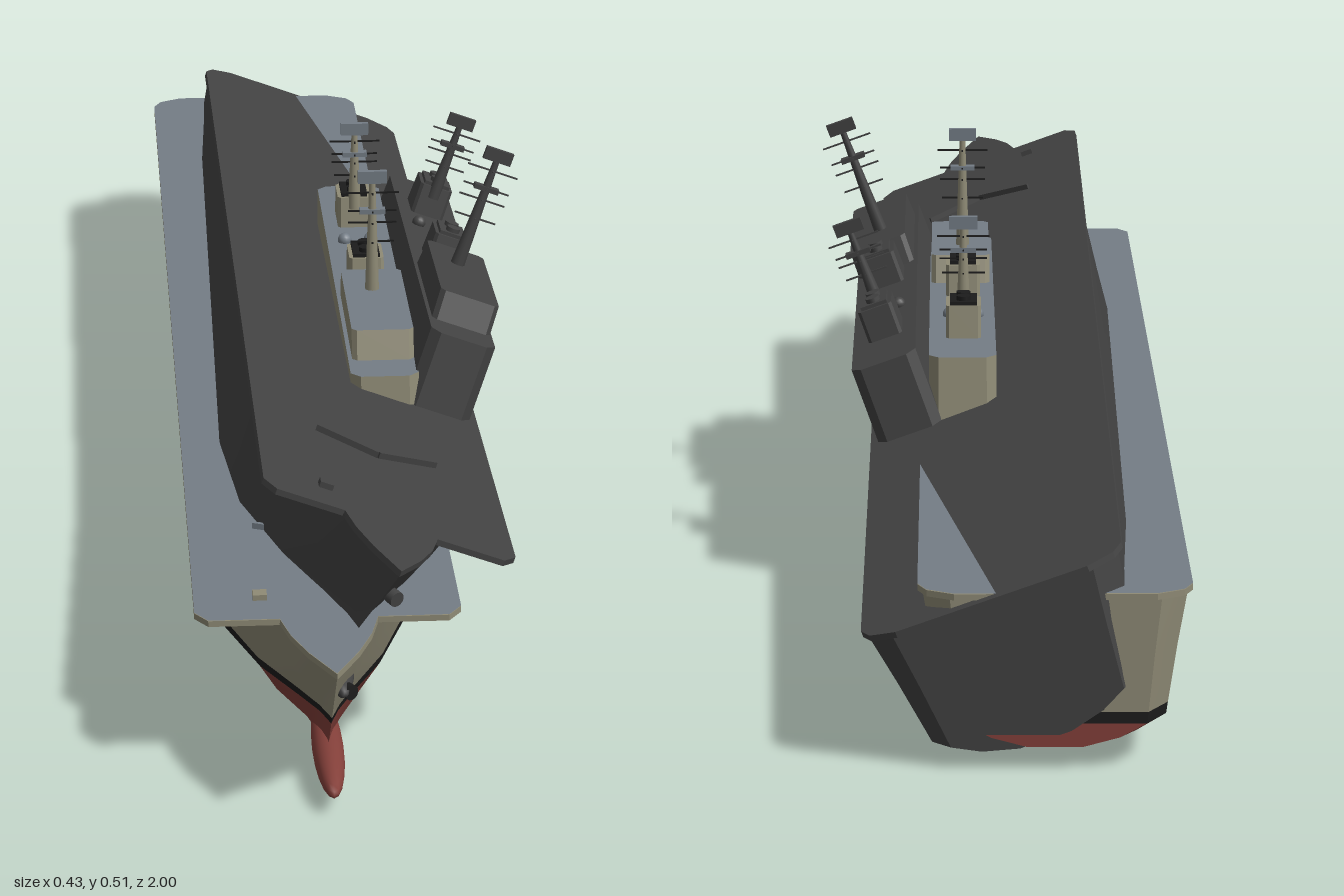
import * as THREE from 'three';
import { toCreasedNormals } from 'three/addons/utils/BufferGeometryUtils.js';

const material = (name, color) => {
  const m = new THREE.MeshStandardMaterial({ color });
  m.name = name;
  return m;
};

// Hull stations, stern to bow:
// zTop, zBottom, deck half width, band half width, band y, bilge half width, keel half width, keel y
const STATIONS = [
  [-0.985, -0.985, 0.115, 0.1, 0.052, 0.07, 0.03, 0.025],
  [-0.95, -0.95, 0.145, 0.122, 0.052, 0.09, 0.04, 0.02],
  [-0.7, -0.7, 0.15, 0.135, 0.052, 0.11, 0.045, 0.003],
  [-0.4, -0.4, 0.15, 0.135, 0.052, 0.11, 0.045, 0],
  [0.35, 0.35, 0.15, 0.135, 0.052, 0.11, 0.045, 0],
  [0.55, 0.53, 0.143, 0.115, 0.053, 0.085, 0.035, 0],
  [0.72, 0.67, 0.105, 0.07, 0.06, 0.05, 0.02, 0.002],
  [0.86, 0.75, 0.055, 0.03, 0.073, 0.02, 0.008, 0.01],
  [0.94, 0.79, 0.028, 0.01, 0.083, 0.006, 0.003, 0.02],
  [1, 0.81, 0, 0, 0.088, 0, 0, 0.03],
];

// Rows of one station from deck edge down to the keel line
function sectionRows([zt, zb, wd, wb, yb, wl, wk, yk]) {
  const yBilge = yk + (yb - yk) * 0.4;
  const rows = [
    [wd, 0.196], [wb + (wd - wb) * 0.5, 0.13], [wb + (wd - wb) * 0.08, yb + 0.013],
    [wb, yb], [wl, yBilge], [wk, yk], [0, yk],
  ];
  return rows.map(([x, y]) => [x, y, zb + (zt - zb) * (y / 0.196)]);
}

// Both sides and the transom of the hull between two rows
function hullStrip(first, last) {
  const sections = STATIONS.map(sectionRows).map((r) => r.slice(first, last + 1));
  sections.unshift(sections[0].map(([, y, z]) => [0, y, z]));
  const n = last - first + 1;
  const pos = [], index = [];
  for (const side of [1, -1]) {
    const base = pos.length / 3;
    sections.forEach((s) => s.forEach(([x, y, z]) => pos.push(side * x, y, z)));
    for (let i = 0; i < sections.length - 1; i++) {
      for (let j = 0; j < n - 1; j++) {
        const a = base + i * n + j, b = a + n, c = a + 1, d = b + 1;
        if (side > 0) index.push(a, b, c, b, d, c);
        else index.push(a, c, b, b, c, d);
      }
    }
  }
  const g = new THREE.BufferGeometry();
  g.setAttribute('position', new THREE.Float32BufferAttribute(pos, 3));
  g.setIndex(index);
  return toCreasedNormals(g, 0.45);
}

function polygon(points) {
  return new THREE.Shape(points.map(([x, z]) => new THREE.Vector2(x, -z)));
}

// Plan outline of the flight deck with its pointed bow
function deckShape() {
  const half = [
    [0.11, -0.988], [0.14, -0.972], [0.15, -0.95], [0.15, 0.835], [0.135, 0.857],
    [0.055, 0.857], [0.045, 0.9], [0.028, 0.945], [0, 1],
  ];
  const other = half.slice(0, -1).reverse().map(([x, z]) => [-x, z]);
  return polygon([...half, ...other]);
}

// Chamfered block standing between y0 and y1, its front and back leaning in towards the top
function blockGeometry(x0, x1, z0, z1, y0, y1, c, lean) {
  const shape = polygon([
    [x0 + c, z0], [x0, z0 + c], [x0, z1 - c], [x0 + c, z1],
    [x1 - c, z1], [x1, z1 - c], [x1, z0 + c], [x1 - c, z0],
  ]);
  const g = new THREE.ExtrudeGeometry(shape, { depth: y1 - y0, bevelEnabled: false });
  g.rotateX(-Math.PI / 2).translate(0, y0, 0);
  const p = g.attributes.position, mid = (z0 + z1) / 2;
  for (let i = 0; i < p.count; i++) {
    if (p.getY(i) > (y0 + y1) / 2) p.setZ(i, p.getZ(i) - Math.sign(p.getZ(i) - mid) * lean);
  }
  g.computeVertexNormals();
  return g;
}

function createShip(name, m) {
  const ship = new THREE.Group();
  ship.name = name;
  const add = (part, geometry, mat, x = 0, y = 0, z = 0) => {
    const mesh = new THREE.Mesh(geometry, mat);
    mesh.name = part;
    mesh.position.set(x, y, z);
    ship.add(mesh);
    return mesh;
  };
  const box = (w, h, d) => new THREE.BoxGeometry(w, h, d);

  // Hull in three painted zones
  add('hullSides', hullStrip(0, 2), m.hull);
  add('waterlineBand', hullStrip(2, 3), m.black);
  add('hullBottom', hullStrip(3, 6), m.red);
  const bulb = add('bowBulb', new THREE.SphereGeometry(1, 20, 14), m.red, 0, 0.025, 0.83);
  bulb.scale.set(0.018, 0.018, 0.12);
  add('rudder', box(0.012, 0.045, 0.07), m.red, 0, 0.029, -0.87);
  const hawse = add('anchor', new THREE.CylinderGeometry(0.009, 0.009, 0.012, 14), m.black, 0.017, 0.145, 0.93);
  hawse.rotation.set(Math.PI / 2, 0, -0.6);

  // Flight deck
  const plate = new THREE.ExtrudeGeometry(deckShape(), { depth: 0.007, bevelEnabled: false });
  add('deckPlate', plate.rotateX(-Math.PI / 2), m.hull, 0, 0.193, 0);
  add('deckSurface', new THREE.ShapeGeometry(deckShape()).rotateX(-Math.PI / 2), m.deck, 0, 0.2008, 0);
  for (const s of [1, -1]) {
    const wall = add('breakwater', box(0.08, 0.008, 0.005), m.deck, s * 0.037, 0.204, 0.622);
    wall.rotation.y = s * 0.4;
  }
  add('deckFitting', box(0.016, 0.007, 0.016), m.hull, -0.075, 0.204, 0.8);

  // Island
  add('islandBase', blockGeometry(0.057, 0.14, -0.325, 0.39, 0.2, 0.295, 0.012, 0.012), [m.deck, m.hull]);
  add('bridge', blockGeometry(0.062, 0.138, 0.09, 0.325, 0.295, 0.33, 0.006, 0.012), [m.deck, m.hull]);
  for (const z of [0.048, -0.182]) {
    add('funnel', blockGeometry(0.075, 0.119, z - 0.033, z + 0.033, 0.295, 0.335, 0.004, 0.005), m.hull);
    add('funnelCap', box(0.034, 0.005, 0.048), m.black, 0.097, 0.337, z);
    for (const dz of [-0.011, 0.011]) {
      add('exhaust', new THREE.CylinderGeometry(0.009, 0.009, 0.008, 14), m.black, 0.097, 0.341, z + dz);
    }
  }
  for (const x of [0.08, 0.114]) {
    add('dome', new THREE.SphereGeometry(0.009, 14, 10), m.deck, x, 0.298, -0.095);
  }

  // Masts with yards and a radar head
  for (const [z, y0, y1] of [[0.17, 0.33, 0.47], [-0.157, 0.32, 0.422]]) {
    const h = y1 - y0;
    add('mast', new THREE.CylinderGeometry(0.004, 0.009, h, 10), m.hull, 0.097, y0 + h / 2, z);
    add('radarHead', box(0.036, 0.016, 0.007), m.deck, 0.097, y1 + 0.008, z);
    add('mastPlatform', box(0.032, 0.006, 0.012), m.deck, 0.097, y0 + h * 0.74, z);
    for (const [t, w] of [[0.45, 0.054], [0.63, 0.06], [0.74, 0.06], [0.91, 0.066]]) {
      add('yard', box(w, 0.002, 0.002), m.black, 0.097, y0 + h * t, z);
      add('yard', box(0.002, 0.002, 0.016), m.black, 0.097, y0 + h * t, z);
    }
  }
  return ship;
}

export function createModel() {
  const model = new THREE.Group();
  model.name = 'carrierPair';

  // Painted ship, upright
  const upright = createShip('uprightShip', {
    hull: material('khaki paint', 0x8f8b76),
    deck: material('deck grey', 0x747d86),
    red: material('bottom red', 0x84403a),
    black: material('band black', 0x1c1c1c),
  });
  upright.position.set(-0.07, 0, 0);

  // Dark ship, rolled to its left with the bow raised
  const dark = material('dark grey', 0x434343);
  const rolled = createShip('rolledShip', { hull: dark, deck: dark, red: dark, black: dark });
  rolled.rotation.set(-0.059, 0, -0.349);
  rolled.position.set(-0.068, 0.068, 0);

  model.add(upright, rolled);
  return model;
}
